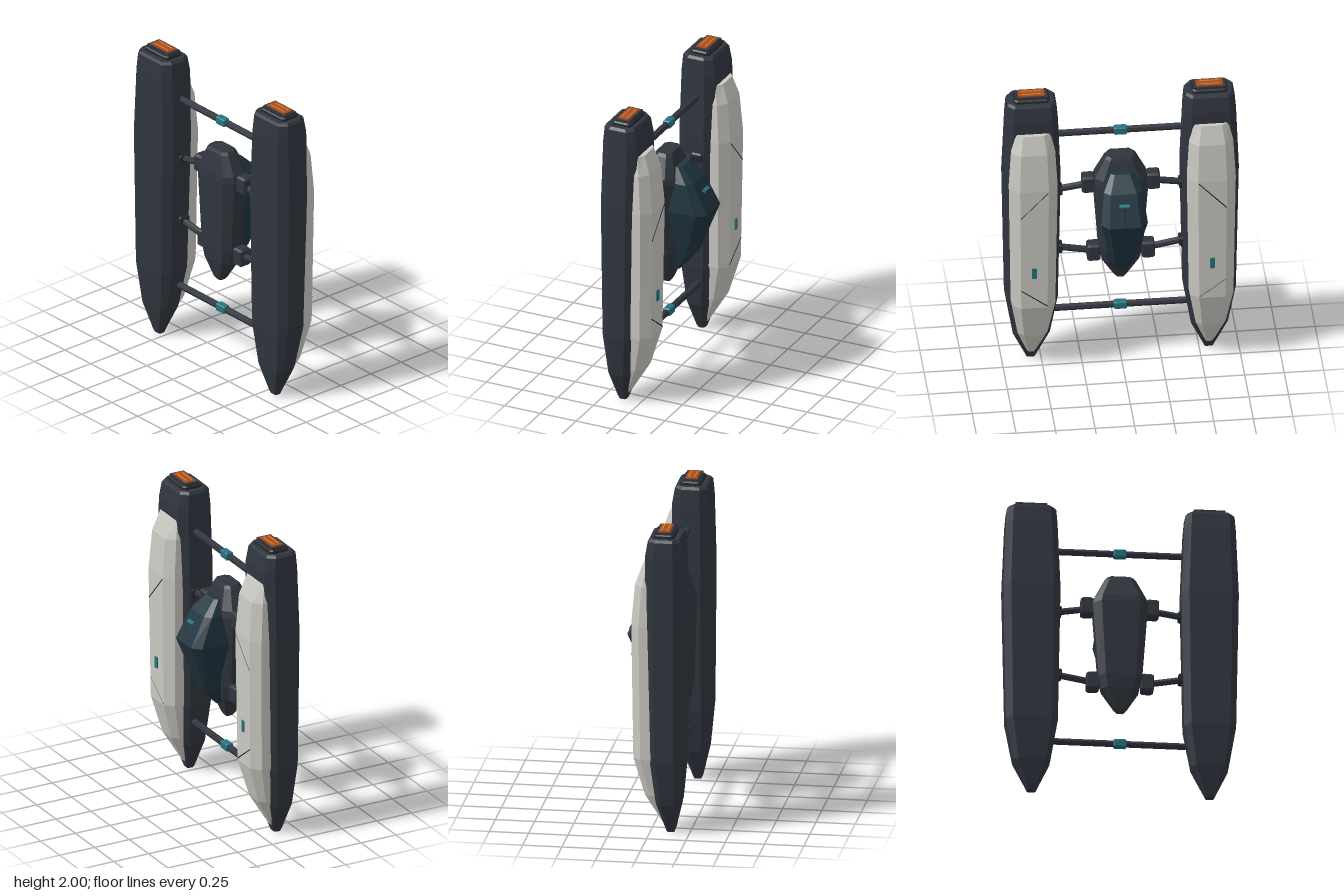
import * as THREE from 'three';

const mat = (color, rough = 0.7) => new THREE.MeshStandardMaterial({ color, flatShading: true, roughness: rough });
const M = {
  dark: mat(0x30353e), darker: mat(0x24282f), shell: mat(0xcbc9c2), glass: mat(0x20343f),
  teal: mat(0x24757f), orange: mat(0xa64c1a), glow: mat(0xe08a3c),
};

// Chamfered-rectangle sections stacked along y: [y, halfX, zFront, zBack]
function loft(sections, kx, kz) {
  const rings = sections.map(([y, h, zf, zb]) => {
    const c = (zf + zb) / 2, d = (zf - zb) / 2;
    const a = h * (1 - kx), b = d * (1 - kz);
    return [[a, d], [h, b], [h, -b], [a, -d], [-a, -d], [-h, -b], [-h, b], [-a, d]]
      .map(([x, z]) => new THREE.Vector3(x, y, c + z));
  });
  const pos = [];
  const tri = (...v) => v.forEach((p) => pos.push(p.x, p.y, p.z));
  for (let i = 0; i < rings.length - 1; i++) {
    const lo = rings[i], hi = rings[i + 1];
    for (let j = 0; j < 8; j++) {
      const k = (j + 1) % 8;
      tri(lo[j], lo[k], hi[k]);
      tri(lo[j], hi[k], hi[j]);
    }
  }
  const first = rings[0], last = rings[rings.length - 1];
  for (let j = 1; j < 7; j++) {
    tri(first[0], first[j + 1], first[j]);
    tri(last[0], last[j], last[j + 1]);
  }
  const g = new THREE.BufferGeometry();
  g.setAttribute('position', new THREE.Float32BufferAttribute(pos, 3));
  g.computeVertexNormals();
  return g;
}

function add(parent, name, geo, material, x = 0, y = 0, z = 0) {
  const m = new THREE.Mesh(geo, material);
  m.name = name;
  m.position.set(x, y, z);
  parent.add(m);
  return m;
}
const box = (w, h, d) => new THREE.BoxGeometry(w, h, d);

// Chamfered block centred on the origin
function block(w, h, d, c = 0.012) {
  return loft([
    [-h / 2, w / 2 - c, d / 2 - c, c - d / 2],
    [c - h / 2, w / 2, d / 2, -d / 2],
    [h / 2 - c, w / 2, d / 2, -d / 2],
    [h / 2, w / 2 - c, d / 2 - c, c - d / 2],
  ], 0.15, 0.2);
}

// Straight bar between two points
function bar(parent, name, a, b, radius, sides, material) {
  const p = new THREE.Vector3(...a), q = new THREE.Vector3(...b);
  const m = add(parent, name, new THREE.CylinderGeometry(radius, radius, p.distanceTo(q), sides), material);
  m.position.copy(p).add(q).multiplyScalar(0.5);
  m.quaternion.setFromUnitVectors(new THREE.Vector3(0, 1, 0), q.sub(p).normalize());
  return m;
}

function createPontoon(side) {
  const g = new THREE.Group();
  g.name = side > 0 ? 'leftPontoon' : 'rightPontoon';
  g.position.x = side * 0.563;
  add(g, 'hull', loft([
    [0, 0.028, 0.15, 0.105],
    [0.02, 0.036, 0.158, 0.098],
    [0.2, 0.117, 0.195, 0.045],
    [0.48, 0.164, 0.218, 0],
    [1.4, 0.181, 0.224, -0.022],
    [1.84, 0.163, 0.214, -0.02],
    [1.94, 0.155, 0.206, -0.003],
    [1.957, 0.142, 0.195, 0.008],
  ], 0.25, 0.45), M.dark);

  // Stepped end cap with a glowing vent
  add(g, 'capStep', loft([[1.95, 0.112, 0.164, 0.03], [1.972, 0.112, 0.164, 0.03], [1.98, 0.104, 0.156, 0.038]], 0.15, 0.25), M.darker);
  add(g, 'ventFrame', box(0.2, 0.02, 0.1), M.dark, 0, 1.982, 0.095);
  add(g, 'vent', box(0.168, 0.012, 0.074), M.orange, 0, 1.992, 0.095);
  for (const z of [0.077, 0.113]) add(g, 'ventSlat', box(0.125, 0.004, 0.006), M.glow, 0, 1.998, z);

  // Pale shell on the back of the hull
  add(g, 'shell', loft([
    [0.05, 0.025, 0.13, 0.085],
    [0.25, 0.095, 0.13, -0.03],
    [0.5, 0.138, 0.13, -0.1],
    [1.38, 0.152, 0.13, -0.112],
    [1.64, 0.138, 0.13, -0.09],
    [1.76, 0.11, 0.1, -0.048],
  ], 0.4, 0.45), M.shell);
  add(g, 'shellMarker', box(0.03, 0.075, 0.012), M.teal, 0, 0.765, -0.105);
  bar(g, 'upperSeam', [side * 0.088, 1.18, -0.109], [side * -0.088, 1.37, -0.111], 0.004, 4, M.darker);
  bar(g, 'lowerSeam', [side * 0.083, 0.635, -0.101], [side * -0.083, 0.51, -0.1], 0.004, 4, M.darker);
  return g;
}

export function createModel() {
  const model = new THREE.Group();
  model.name = 'twinHullCraft';
  for (const s of [1, -1]) model.add(createPontoon(s));

  // Central body
  add(model, 'body', loft([
    [0.583, 0.025, 0.125, 0.075],
    [0.6, 0.04, 0.135, 0.065],
    [0.73, 0.118, 0.165, 0.02],
    [0.82, 0.138, 0.175, 0],
    [1.32, 0.174, 0.187, -0.015],
    [1.36, 0.164, 0.184, -0.01],
    [1.485, 0.1, 0.155, 0.03],
    [1.505, 0.085, 0.145, 0.04],
  ], 0.3, 0.5), M.dark);

  // Faceted canopy on the back
  add(model, 'canopy', loft([
    [0.69, 0.035, 0.08, 0],
    [0.8, 0.075, 0.08, -0.095],
    [1.14, 0.147, 0.08, -0.222],
    [1.33, 0.122, 0.08, -0.122],
    [1.42, 0.07, 0.08, -0.03],
  ], 0.32, 0.35), M.glass);
  bar(model, 'canopySeam', [0, 1.14, -0.223], [0, 1.29, -0.144], 0.004, 4, M.darker);
  const sensor = add(model, 'canopySensor', box(0.065, 0.014, 0.022), M.teal, 0, 1.272, -0.17);
  sensor.rotation.x = -0.4;

  // Cross beams with centre clamps
  for (const y of [1.685, 0.37]) {
    bar(model, 'crossBeam', [-0.46, y, 0.087], [0.46, y, 0.087], 0.022, 8, M.dark);
    add(model, 'beamClamp', block(0.082, 0.052, 0.05, 0.006), M.teal, 0, y, 0.087);
  }

  // Joints and struts holding the body
  for (const s of [1, -1]) {
    for (const [jx, jy, hy] of [[0.206, 1.312, 1.265], [0.172, 0.797, 0.838]]) {
      add(model, 'strutJoint', block(0.082, 0.118, 0.09), M.dark, s * jx, jy, 0.073);
      bar(model, 'strut', [s * jx, jy + (jy > 1 ? -0.01 : 0), 0.075], [s * 0.42, hy, 0.082], 0.022, 8, M.dark);
      add(model, 'strutSocket', block(0.04, 0.065, 0.075, 0.01), M.darker, s * 0.388, hy + (jy > 1 ? 0.005 : -0.003), 0.08);
    }
  }
  return model;
}
